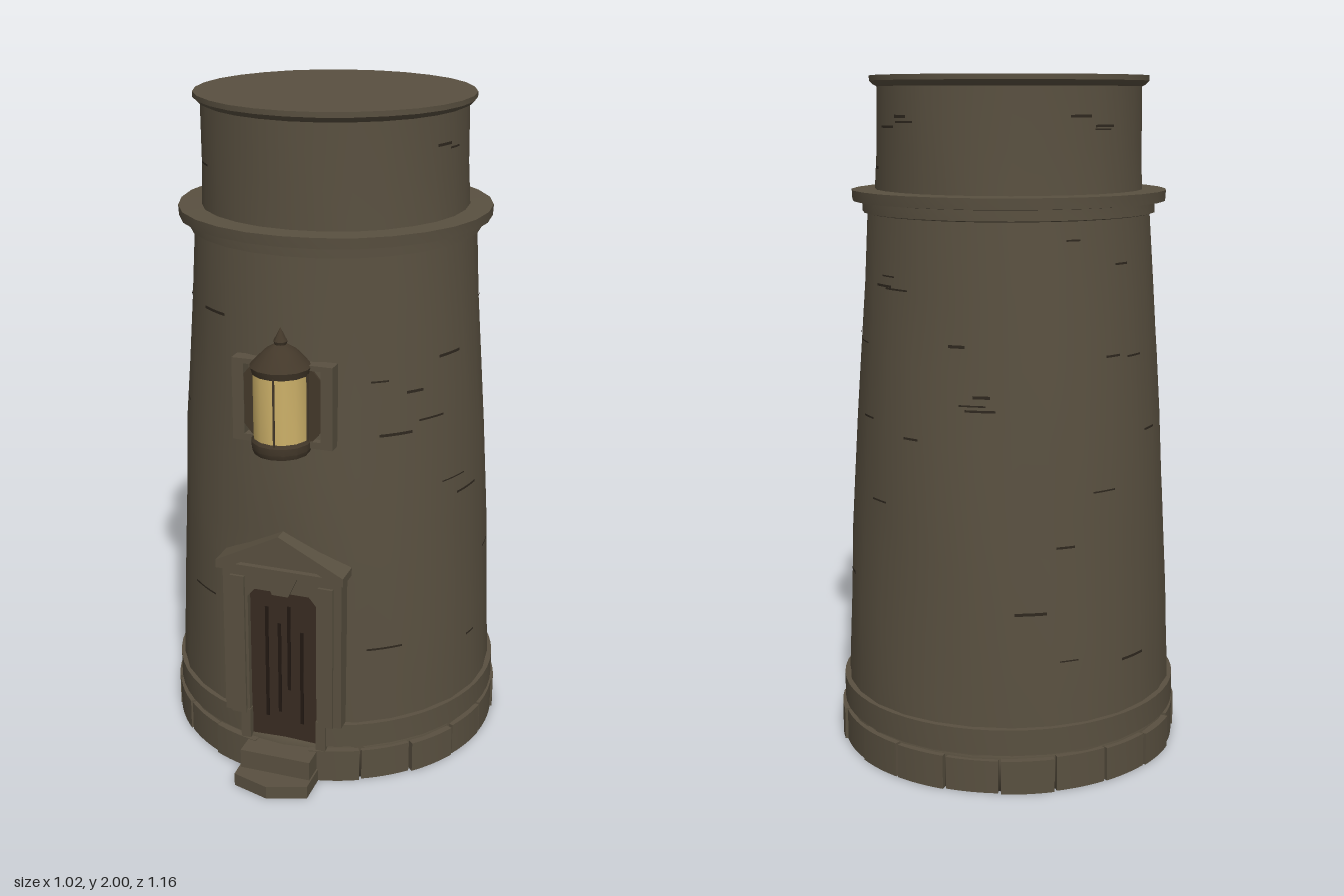
import * as THREE from 'three';
import { mergeGeometries, toCreasedNormals } from 'three/addons/utils/BufferGeometryUtils.js';

const mat = (name, color) => {
  const m = new THREE.MeshStandardMaterial({ color });
  m.name = name;
  return m;
};

export function createModel() {
  const stone = mat('stone', 0x595040);
  const crackMat = mat('dark crack', 0x2f281f);
  const wood = mat('dark wood', 0x382b21);
  const groove = mat('wood groove', 0x211812);
  const metal = mat('lantern metal', 0x43382a);
  const glow = mat('lantern glow', 0xcdb169);

  const model = new THREE.Group();
  const add = (name, geo, material, x = 0, y = 0, z = 0) => {
    const mesh = new THREE.Mesh(geo, material);
    mesh.name = name;
    mesh.position.set(x, y, z);
    model.add(mesh);
    return mesh;
  };
  const axisZ = (y) => -0.065 + 0.009 * y; // the tower leans very slightly forward
  const lathe = (pts, sides) =>
    new THREE.LatheGeometry(pts.map(([r, y]) => new THREE.Vector2(r, y)), sides);

  // Hand-cut stone: gentle waves in the radius, flat behind the doorway
  const roughLathe = (pts, amount) => {
    const geo = lathe(pts, 28);
    const p = geo.attributes.position;
    for (let i = 0; i < p.count; i++) {
      const x = p.getX(i), y = p.getY(i), z = p.getZ(i);
      const a = Math.atan2(x, z);
      const k = 1 + amount * (Math.sin(5 * a + y * 7) + Math.sin(9 * a - y * 13));
      let nz = z * k + axisZ(y);
      if (y < 0.75) nz = Math.min(nz, 0.4);
      p.setXYZ(i, x * k, y, nz);
    }
    return toCreasedNormals(geo, 0.5);
  };

  // Closed curved block: ring sector lying flat, angle 0 facing the front
  const sector = (rIn, rOut, a0, a1, height, segments) => {
    const s = new THREE.Shape();
    const q = -Math.PI / 2;
    s.absarc(0, 0, rOut, a0 + q, a1 + q, false);
    s.absarc(0, 0, rIn, a1 + q, a0 + q, true);
    const geo = new THREE.ExtrudeGeometry(s, { depth: height, bevelEnabled: false, curveSegments: segments });
    geo.rotateX(-Math.PI / 2);
    return toCreasedNormals(geo, 0.5);
  };

  // Flat outline pushed forward from z0 to z1
  const plate = (pts, z0, z1, hole) => {
    const s = new THREE.Shape(pts.map(([x, y]) => new THREE.Vector2(x, y)));
    if (hole) s.holes.push(new THREE.Path(hole.map(([x, y]) => new THREE.Vector2(x, y))));
    const geo = new THREE.ExtrudeGeometry(s, { depth: z1 - z0, bevelEnabled: false });
    geo.translate(0, 0, z0);
    return geo;
  };
  const rect = (x0, y0, x1, y1) => [[x0, y0], [x1, y0], [x1, y1], [x0, y1]];

  // Tower shaft
  const wall = [[0.5, 0.08], [0.495, 0.25], [0.487, 0.45], [0.477, 0.65], [0.471, 0.78],
    [0.459, 1.0], [0.445, 1.2], [0.431, 1.4], [0.416, 1.63]];
  add('towerWall', roughLathe(wall, 0.003), stone);

  // Plinth: core, separate blocks and the course above them
  add('plinthCore', lathe([[0, 0], [0.5, 0], [0.5, 0.105], [0.47, 0.115]], 28), stone, 0, 0, -0.065);
  const blocks = [];
  const count = 20;
  for (let i = 0; i < count; i++) {
    const a = ((i - 0.5) / count) * Math.PI * 2;
    const r = 0.515 + 0.004 * Math.sin(i * 2.4);
    blocks.push(sector(0.47, r, a + 0.008, a + Math.PI * 2 / count - 0.008, 0.1 + 0.003 * Math.sin(i * 1.7), 3));
  }
  add('plinthBlocks', mergeGeometries(blocks), stone, 0, 0, -0.065);
  add('plinthCourse', sector(0.47, 0.51, 0.24, Math.PI * 2 - 0.24, 0.075, 28), stone, 0, 0.115, -0.065);

  // Collar, upper drum and cap
  add('collar', roughLathe([[0.41, 1.605], [0.432, 1.61], [0.432, 1.64], [0.462, 1.643],
    [0.464, 1.674], [0.38, 1.676]], 0.002), stone);
  add('upperDrum', roughLathe([[0.395, 1.67], [0.39, 1.8], [0.388, 1.98]], 0.003), stone);
  add('cap', roughLathe([[0.38, 1.965], [0.4, 1.975], [0.41, 1.985], [0.41, 2], [0, 2]], 0.002), stone);

  // Short horizontal cracks scattered over the masonry
  let seed = 7;
  const rand = () => (seed = (seed * 16807) % 2147483647) / 2147483647;
  const radiusAt = (y) => {
    if (y > 1.68) return 0.392;
    const i = Math.max(1, wall.findIndex((w) => w[1] > y));
    const [r0, y0] = wall[i - 1], [r1, y1] = wall[i];
    return r0 + (r1 - r0) * (y - y0) / (y1 - y0);
  };
  const cracks = [];
  for (let i = 0; i < 50; i++) {
    const y = i < 10 ? 1.74 + rand() * 0.16 : 0.28 + rand() * 1.28;
    const r = radiusAt(y) + 0.002;
    const geo = new THREE.CylinderGeometry(r, r, 0.004 + rand() * 0.005, 4, 1, true,
      0.5 + rand() * 5.1, 0.08 + rand() * 0.16);
    geo.translate(0, y, axisZ(y));
    cracks.push(geo);
  }
  add('wallCracks', mergeGeometries(cracks), crackMat);

  // Doorway: steps, door, surround and pediment
  add('lowerStep', toCreasedNormals(new THREE.ExtrudeGeometry(
    new THREE.Shape([[-0.12, -0.4], [0.115, -0.4], [0.115, -0.54], [0, -0.58], [-0.115, -0.545]]
      .map(([x, y]) => new THREE.Vector2(x, y)).reverse()),
    { depth: 0.04, bevelEnabled: false }).rotateX(-Math.PI / 2), 0.4), stone);
  add('upperStep', new THREE.BoxGeometry(0.22, 0.06, 0.12), stone, 0, 0.07, 0.445);
  add('door', plate([[-0.115, 0.1], [0.115, 0.1], [0.115, 0.6], [0.08, 0.63], [-0.08, 0.63], [-0.115, 0.6]],
    0.39, 0.412), wood);
  for (const [x, y0, y1] of [[-0.055, 0.18, 0.55], [-0.015, 0.2, 0.5], [0.015, 0.28, 0.56], [0.055, 0.17, 0.48]]) {
    add('doorGroove', plate(rect(x - 0.005, y0, x + 0.005, y1), 0.411, 0.415), groove);
  }
  add('doorSurround', plate([[-0.185, 0.19], [-0.107, 0.19], [-0.107, 0.585], [-0.085, 0.612], [0.085, 0.612],
    [0.107, 0.585], [0.107, 0.19], [0.185, 0.19], [0.185, 0.68], [-0.185, 0.68]], 0.37, 0.432), stone);
  for (const s of [-1, 1]) {
    add('doorJamb', new THREE.BoxGeometry(0.045, 0.46, 0.05), stone, s * 0.138, 0.42, 0.416);
    add('jambFoot', new THREE.BoxGeometry(0.03, 0.1, 0.05), stone, s * 0.12, 0.15, 0.41);
  }
  add('keystone', plate([[-0.025, 0.608], [0.025, 0.608], [0.06, 0.685], [-0.06, 0.685]], 0.4, 0.445), stone);
  add('pedimentPanel', plate([[-0.17, 0.68], [0.17, 0.68], [0, 0.78]], 0.36, 0.437), stone);
  add('pediment', plate([[-0.197, 0.675], [0.197, 0.675], [0.197, 0.7], [0, 0.802], [-0.197, 0.7]],
    0.37, 0.455, [[-0.135, 0.695], [0, 0.768], [0.135, 0.695]]), stone);

  // Window niche behind the lantern
  add('windowFrame', plate(rect(-0.15, 1.07, 0.15, 1.315), 0.365, 0.41, rect(-0.115, 1.09, 0.115, 1.3)), stone);
  add('windowRecess', plate([[-0.115, 1.12], [-0.09, 1.09], [0.09, 1.09], [0.115, 1.12], [0.115, 1.27],
    [0.09, 1.3], [-0.09, 1.3], [-0.115, 1.27]], 0.4, 0.407), metal);

  // Lantern
  const lanternZ = 0.415;
  const round = (name, pts, material) =>
    add(name, toCreasedNormals(lathe(pts, 14), 0.5), material, 0, 0, lanternZ);
  round('lanternBase', [[0, 1.055], [0.08, 1.055], [0.086, 1.07], [0.086, 1.09], [0.08, 1.1], [0, 1.1]], metal);
  round('lanternGlass', [[0.08, 1.095], [0.08, 1.3]], glow);
  round('lanternRoof', [[0, 1.29], [0.082, 1.29], [0.088, 1.31], [0.07, 1.33], [0.045, 1.355],
    [0.02, 1.37], [0, 1.375]], metal);
  round('lanternFinial', [[0.012, 1.36], [0.02, 1.38], [0.012, 1.395], [0, 1.42]], metal);
  for (const a of [-1.5, 0.1, 1.5]) {
    add('lanternBar', new THREE.BoxGeometry(0.005, 0.2, 0.005), metal,
      Math.sin(a) * 0.08, 1.195, lanternZ + Math.cos(a) * 0.08);
  }

  return model;
}
